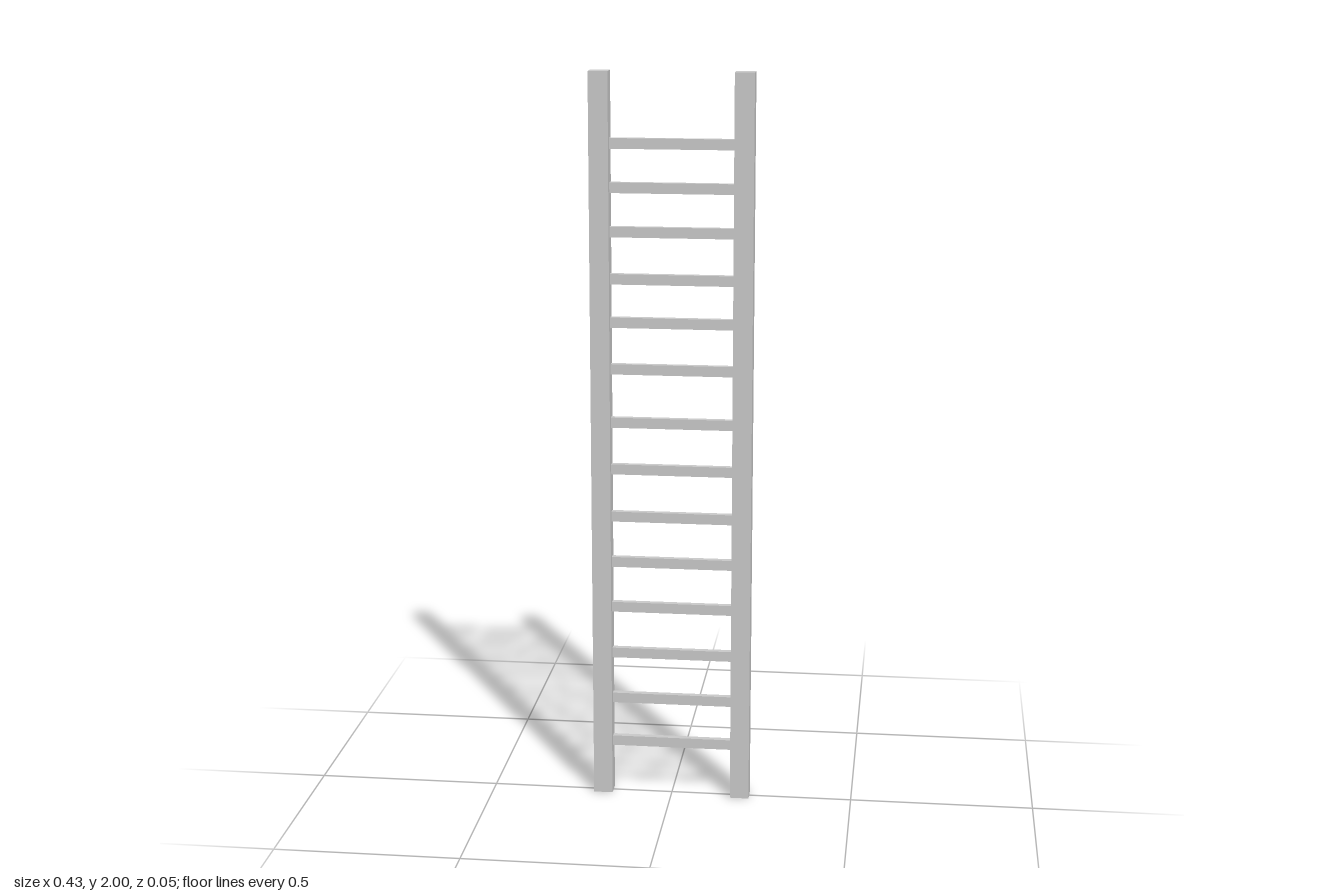
import * as THREE from 'three';

export function createModel() {
  const model = new THREE.Group();
  model.name = 'ladder';
  const grey = new THREE.MeshStandardMaterial({ color: 0xcacaca });
  grey.name = 'light grey';

  function addBox(name, size, position) {
    const mesh = new THREE.Mesh(new THREE.BoxGeometry(...size), grey);
    mesh.name = name;
    mesh.position.set(...position);
    model.add(mesh);
  }

  // Two square upright rails
  const railX = 0.191, railWidth = 0.052;
  for (const side of [-1, 1]) {
    addBox(side > 0 ? 'leftRail' : 'rightRail', [railWidth, 2, 0.048], [side * railX, 1, 0]);
  }

  // Slightly unevenly spaced rungs, set a little behind the rail centres
  const rungHeights = [0.149, 0.276, 0.408, 0.541, 0.67, 0.799, 0.932,
    1.062, 1.209, 1.336, 1.453, 1.579, 1.696, 1.812];
  const rungLength = 2 * railX - railWidth + 0.004;
  rungHeights.forEach((y, i) => {
    addBox(`rung${i + 1}`, [rungLength, 0.028, 0.017], [0, y, -0.003]);
  });

  return model;
}
